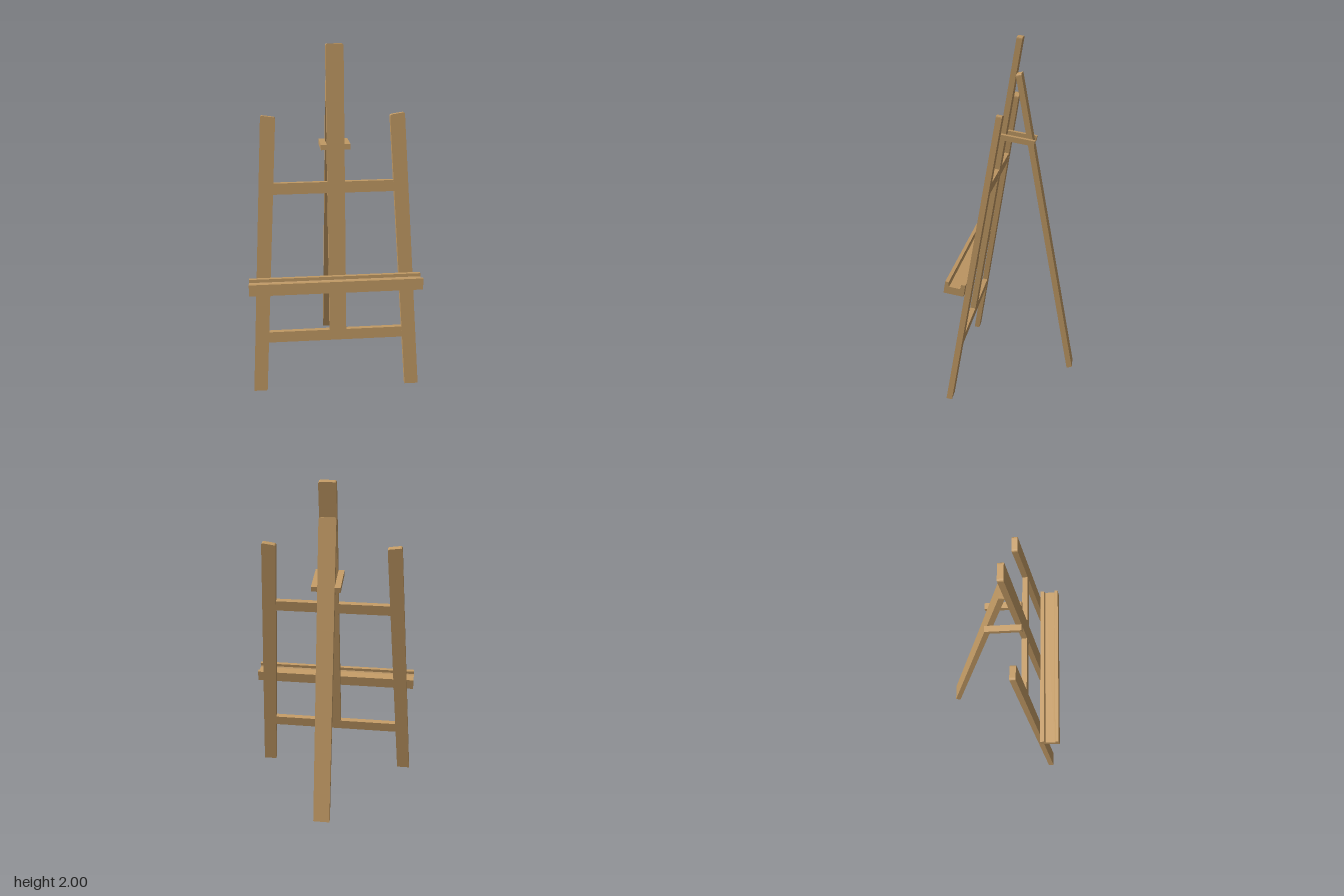
import * as THREE from 'three';

const TILT = THREE.MathUtils.degToRad(10);
const T = 0.032; // board thickness

export function createModel() {
  const wood = new THREE.MeshStandardMaterial({ color: 0xc49c66 });
  wood.name = 'wood';

  const add = (parent, name, geometry) => {
    const mesh = new THREE.Mesh(geometry, wood);
    mesh.name = name;
    parent.add(mesh);
    return mesh;
  };

  // Flat four-cornered board whose two top corners are rounded by r
  const board = ([bl, br, tr, tl], r = 0.012, thickness = T) => {
    const V = (p) => new THREE.Vector2(...p);
    const toward = (a, b) => V(a).add(V(b).sub(V(a)).setLength(r));
    const s = new THREE.Shape();
    s.moveTo(...bl);
    s.lineTo(...br);
    for (const [prev, corner, next] of [[br, tr, tl], [tr, tl, bl]]) {
      s.lineTo(...toward(corner, prev).toArray());
      s.quadraticCurveTo(...corner, ...toward(corner, next).toArray());
    }
    s.closePath();
    const g = new THREE.ExtrudeGeometry(s, { depth: thickness, bevelEnabled: false, curveSegments: 4 });
    return g.translate(0, 0, -thickness / 2);
  };

  const box = (x0, x1, y0, y1, z0, z1) =>
    new THREE.BoxGeometry(x1 - x0, y1 - y0, z1 - z0)
      .translate((x0 + x1) / 2, (y0 + y1) / 2, (z0 + z1) / 2);

  const easel = new THREE.Group();
  easel.name = 'easel';

  // Front frame leans backwards; its parts are laid out flat in x and y
  const frame = new THREE.Group();
  frame.name = 'frontFrame';
  frame.position.set(0, 0.0028, 0.33);
  frame.rotation.x = -TILT;
  easel.add(frame);

  // Splayed side legs
  for (const [side, name] of [[1, 'leftLeg'], [-1, 'rightLeg']]) {
    const corners = [[0.415, 0], [0.495, 0], [0.397, 1.65], [0.315, 1.638]];
    add(frame, name, board(corners.map(([x, y]) => [side * x, y])));
  }

  // Centre post
  const P0 = -0.036, P1 = 0.062;
  add(frame, 'centrePost', board([[P0, 0.37], [P1, 0.37], [P1, 2.025], [P0, 2.025]]));

  // Cross rails, with ends let into the legs
  const inset = T / 2 - 0.001;
  for (const [name, y0, y1, half] of [['lowerRail', 0.31, 0.375, 0.402], ['upperRail', 1.206, 1.27, 0.347]]) {
    add(frame, name, box(-half, half, y0, y1, -inset, inset));
  }

  // Canvas tray: grooved profile (out from the frame, up) swept sideways
  const profile = [
    [0.016, 0.649], [0.128, 0.649], [0.128, 0.716], [0.108, 0.716], [0.108, 0.697],
    [0.102, 0.69], [0.047, 0.69], [0.04, 0.697], [0.04, 0.716], [0.016, 0.716],
  ].map(([x, y]) => new THREE.Vector2(x, y));
  const tray = new THREE.ExtrudeGeometry(new THREE.Shape(profile), { depth: 0.99, bevelEnabled: false });
  add(frame, 'tray', tray.rotateY(-Math.PI / 2).translate(0.495, 0, 0));

  // Pair of braces joining the post to the rear leg
  const B = 0.034;
  add(frame, 'rightBrace', box(P0 - B, P0, 1.451, 1.481, -0.186, 0.016));
  add(frame, 'leftBrace', box(P1, P1 + B, 1.451, 1.481, -0.186, 0.016));

  // Rear leg leans forwards to meet the post
  const rear = add(easel, 'rearLeg', board([[P0, 0], [P1, 0], [P1, 1.817], [P0, 1.817]]));
  rear.position.set(0, 0.007, -0.33);
  rear.rotation.x = TILT;

  return easel;
}
